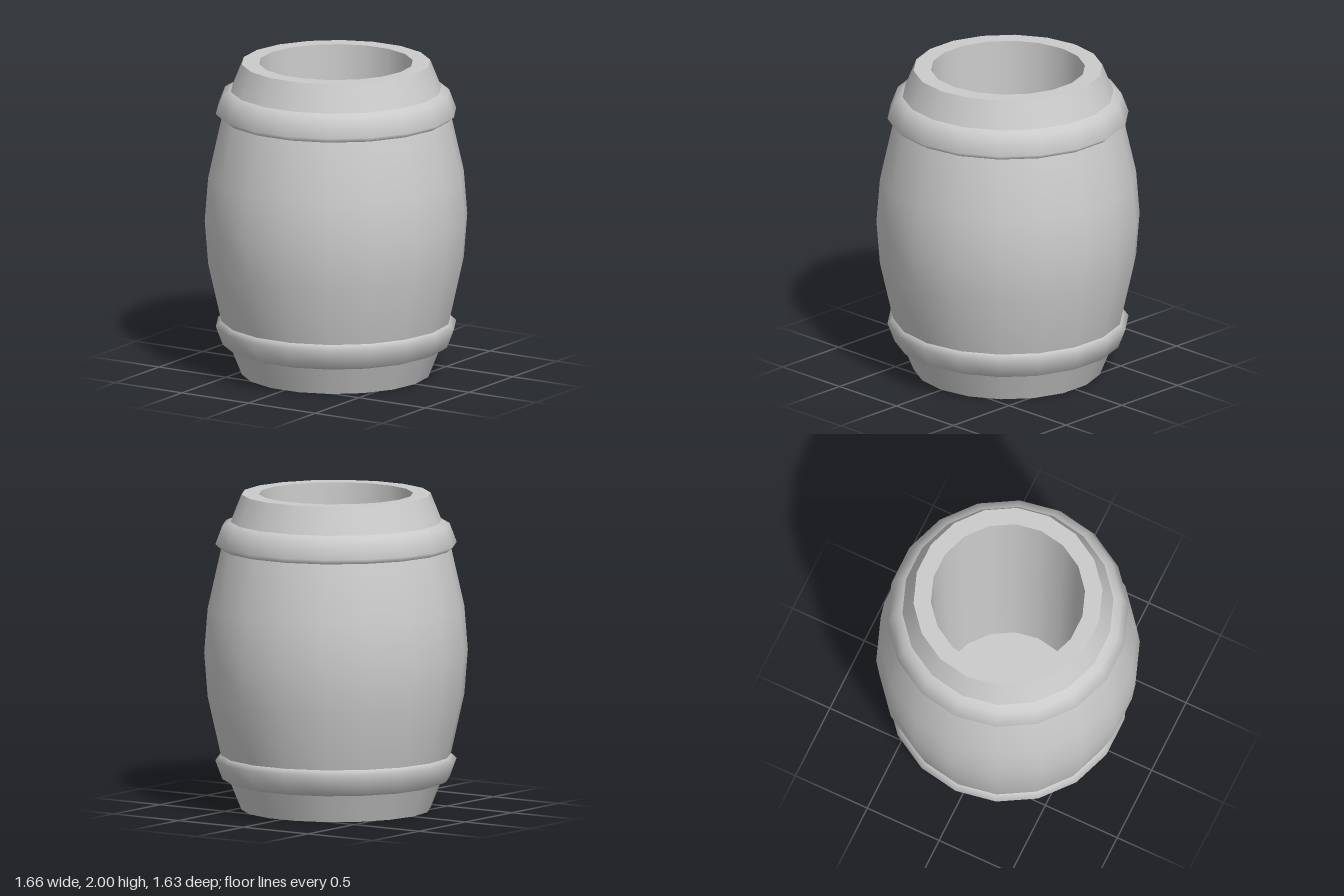
import * as THREE from 'three';

const SIDES = 18;

export function createModel() {
  const barrel = new THREE.Group();
  barrel.name = 'barrel';
  const material = new THREE.MeshStandardMaterial({ color: 0xcccccc });

  // One smooth band of revolution; separate bands keep a crisp edge between them.
  // Outer profiles run upwards, so the faces point away from the axis.
  const band = (name, profile) => {
    const points = profile.map(([r, y]) => new THREE.Vector2(r, y));
    const mesh = new THREE.Mesh(new THREE.LatheGeometry(points, SIDES, Math.PI / 2), material);
    mesh.name = name;
    barrel.add(mesh);
  };
  // The same profile reflected about mid height, reversed to keep its facing
  const flip = (profile) => profile.map(([r, y]) => [r, 2 - y]).reverse();

  // Bulging staves
  const lowerHalf = [[0.66, 0.17], [0.725, 0.35], [0.808, 0.72]];
  band('staves', [...lowerHalf, [0.83, 1], ...flip(lowerHalf)]);

  // Tapered ends
  const end = [[0.595, 0], [0.665, 0.175]];
  band('bottomEnd', end);
  band('topEnd', flip(end));

  // Raised hoops
  const hoop = [[0.655, 0.17], [0.715, 0.195], [0.76, 0.315], [0.72, 0.35]];
  band('bottomHoop', hoop);
  band('topHoop', flip(hoop));

  // Open top: rim, inner wall and floor
  band('topRim', [[0.595, 2], [0.485, 2]]);
  band('innerWall', [[0.485, 2], [0.447, 0.12]]);
  band('innerFloor', [[0.447, 0.12], [0, 0.12]]);

  // Underside: rim and shallow recess
  band('bottomRim', [[0.485, 0], [0.595, 0]]);
  band('recessWall', [[0.455, 0.06], [0.485, 0]]);
  band('recessFloor', [[0, 0.06], [0.455, 0.06]]);

  return barrel;
}
